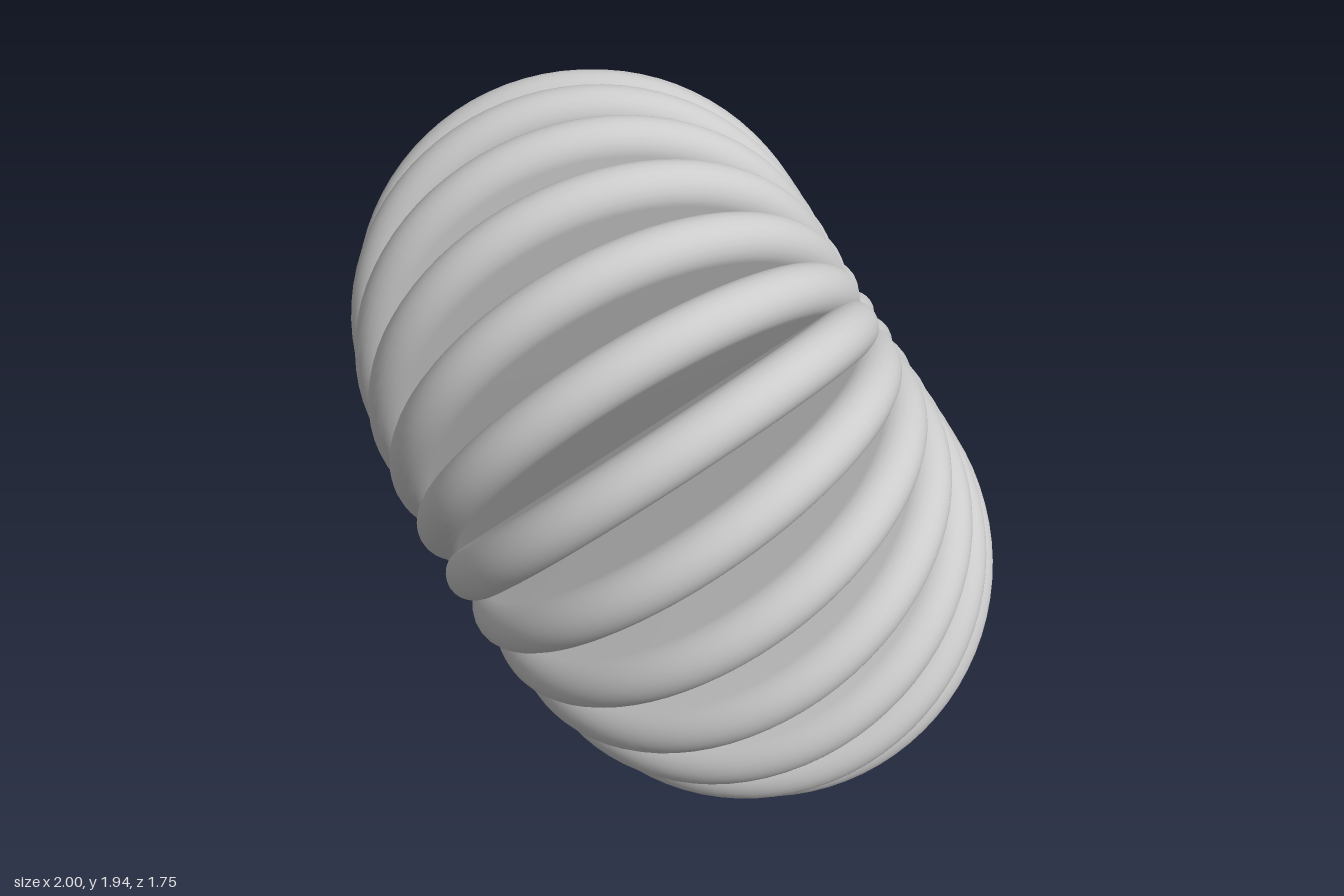
import * as THREE from 'three';

const RIBS = 28;        // discs fanned around the axis
const OFFSET = 0.41;    // disc centre to axis
const RADIUS = 0.618;   // disc radius
const HALF = 0.066;     // half thickness, also the rim rounding

// Flat disc with a fully rounded rim, standing in the plane of the axis
function ribGeometry() {
  const profile = [new THREE.Vector2(0, -HALF)];
  const steps = 12;
  for (let i = 0; i <= steps; i++) {
    const a = -Math.PI / 2 + (Math.PI * i) / steps;
    profile.push(new THREE.Vector2(RADIUS - HALF + HALF * Math.cos(a), HALF * Math.sin(a)));
  }
  profile.push(new THREE.Vector2(0, HALF));
  const geometry = new THREE.LatheGeometry(profile, 80);
  geometry.rotateX(Math.PI / 2);
  geometry.translate(OFFSET, 0, 0);
  return geometry;
}

export function createModel() {
  const model = new THREE.Group();
  model.name = 'ribbedBody';
  const material = new THREE.MeshStandardMaterial({ color: 0xcccccc });
  const geometry = ribGeometry();

  // Ribs spread evenly around the local y axis
  const ribs = new THREE.Group();
  ribs.name = 'ribs';
  const phase = THREE.MathUtils.degToRad(-2.6);
  for (let i = 0; i < RIBS; i++) {
    const rib = new THREE.Mesh(geometry, material);
    rib.name = 'rib';
    rib.rotation.y = phase + (i * Math.PI * 2) / RIBS;
    ribs.add(rib);
  }

  // Tilt the axis up, back and to the left
  const axis = new THREE.Vector3(0.372, 0.51, -0.775).normalize();
  const out = new THREE.Vector3(0, 0, 1).addScaledVector(axis, -axis.z).normalize();
  const side = new THREE.Vector3().crossVectors(out, axis);
  ribs.quaternion.setFromRotationMatrix(new THREE.Matrix4().makeBasis(out, axis, side));
  ribs.position.y = 0.969;
  model.add(ribs);
  return model;
}
